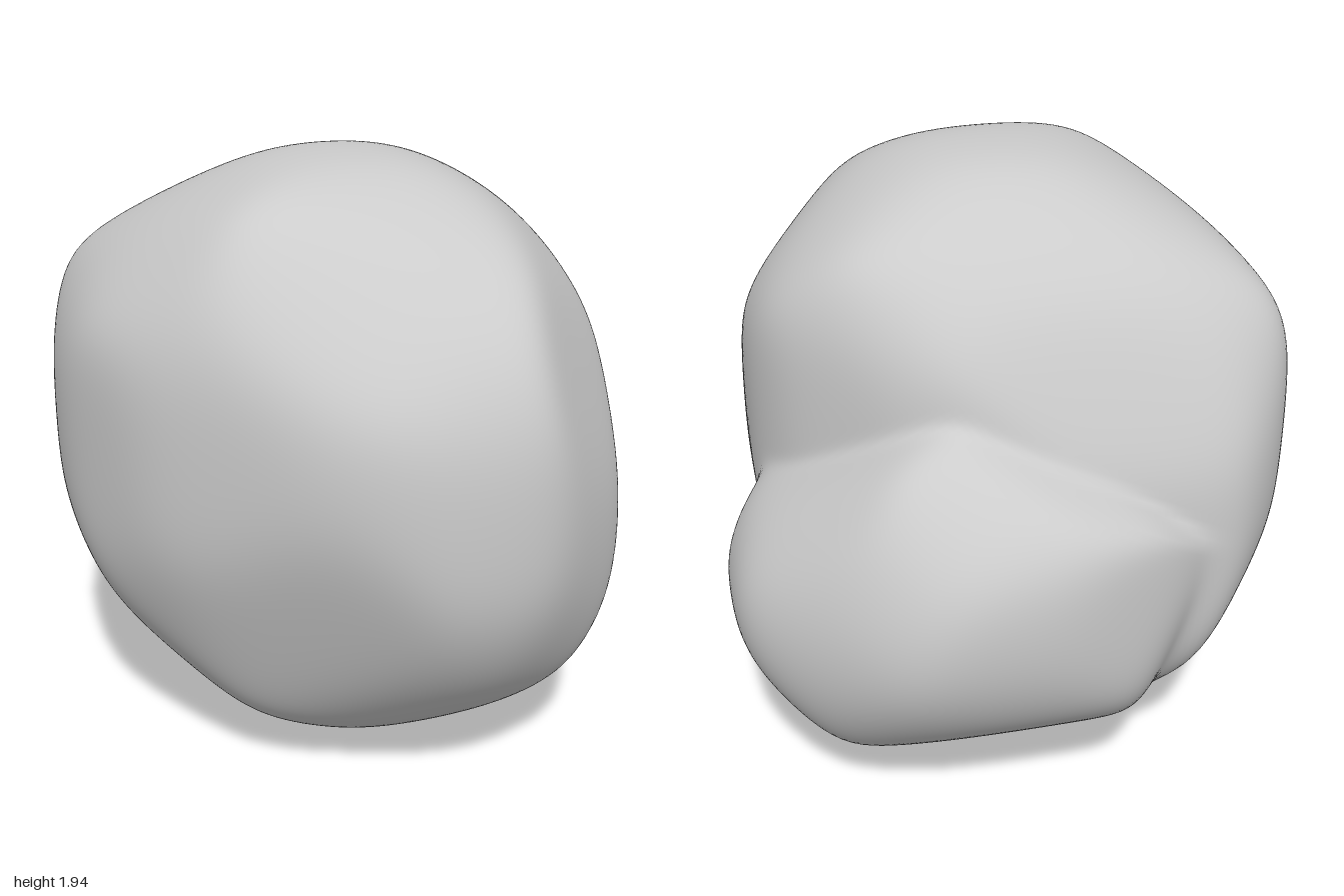
import * as THREE from 'three';
import { mergeVertices } from 'three/addons/utils/BufferGeometryUtils.js';

const MID = 0.985; // height of the centre
const v3 = (x, y, z) => new THREE.Vector3(x, y, z);

// Planes in which the outlines are drawn: across axis, up axis, origin of the up axis
const PLANES = {
  front: [v3(1, 0, 0), v3(0, 1, 0), MID],
  side: [v3(0, 0, 1), v3(0, 1, 0), MID],
  plan: [v3(1, 0, 0), v3(0, 0, 1), 0],
  slantA: [v3(0.707, 0, -0.707), v3(-0.332, 0.883, -0.332), 0],
  slantB: [v3(-0.707, 0, 0.707), v3(0.332, 0.883, 0.332), 0],
  slantC: [v3(-0.707, 0, -0.707), v3(0.332, 0.883, -0.332), 0],
};

// Outlines of the large upper mass
const MAIN = {
  front: [[-0.9, 1.2], [-0.87, 1.38], [-0.62, 1.78], [-0.2, 1.95], [0.07, 1.97], [0.3, 1.9], [0.58, 1.73],
    [0.7, 1.55], [0.76, 1.35], [0.74, 0.8], [0.58, 0.35], [0.2, 0.02], [0.05, 0], [-0.4, 0.15], [-0.6, 0.32],
    [-0.78, 0.58], [-0.88, 0.9]],
  side: [[1, 1], [0.93, 1.4], [0.83, 1.6], [0.45, 1.88], [0.15, 1.96], [-0.2, 1.93], [-0.4, 1.8], [-0.52, 1.65],
    [-0.63, 1.43], [-0.74, 0.95], [-0.68, 0.45], [-0.2, 0.03], [-0.05, 0], [0.4, 0.08], [0.6, 0.22], [0.8, 0.43],
    [0.93, 0.7]],
  plan: [[0.2, -0.62], [0.42, -0.5], [0.62, -0.3], [0.76, 0], [0.77, 0.25], [0.7, 0.67], [0.42, 0.95], [0, 0.99],
    [-0.37, 0.84], [-0.6, 0.6], [-0.78, 0.28], [-0.9, -0.05], [-0.9, -0.25], [-0.74, -0.64], [-0.5, -0.79]],
  slantA: [[-0.85, 0.13], [-0.77, 0.57], [-0.49, 0.87], [-0.27, 0.95], [0.01, 0.93], [0.32, 0.87], [0.51, 0.7],
    [0.64, 0.47], [0.7, 0.13], [0.6, -0.4], [0.16, -0.965], [-0.27, -0.92], [-0.47, -0.78], [-0.63, -0.57],
    [-0.76, -0.26]],
  slantB: [[-0.67, 0.43], [-0.62, 0.63], [-0.47, 0.84], [-0.21, 0.96], [0.04, 1], [0.22, 0.99], [0.48, 0.9],
    [0.78, 0.6], [0.85, 0.13], [0.8, -0.22], [0.67, -0.52], [0.46, -0.76], [-0.05, -0.965], [-0.5, -0.74],
    [-0.66, -0.2]],
  slantC: [[-0.62, 0.66], [-0.32, 0.89], [-0.08, 0.94], [0.15, 0.92], [0.42, 0.75], [0.75, 0.54], [0.88, 0.37],
    [0.96, 0], [0.84, -0.39], [0.42, -0.8], [-0.14, -0.92], [-0.43, -0.86], [-0.84, -0.56], [-0.97, -0.1],
    [-0.78, 0.42]],
};

// Outlines of the low lobe at the rear
const LOBE = {
  front: [[0.74, 1.03], [0.89, 0.73], [0.89, 0.62], [0.8, 0.4], [0.72, 0.3], [0.2, 0.02], [-0.3, 0.2],
    [-0.6, 0.5], [-0.6, 0.95], [-0.2, 1.3], [0.2, 1.38], [0.5, 1.25]],
  side: [[-0.62, 1.41], [-0.75, 1.32], [-0.92, 1.15], [-0.99, 0.9], [-0.92, 0.6], [-0.75, 0.36], [-0.5, 0.18],
    [-0.05, 0], [0.3, 0.15], [0.5, 0.5], [0.45, 0.85], [0.2, 1.02]],
  plan: [[0.25, -1], [0.4, -0.97], [0.62, -0.83], [0.8, -0.65], [0.9, -0.4], [0.83, 0], [0.65, 0.5], [0.2, 0.55],
    [-0.3, 0.3], [-0.6, -0.2], [-0.7, -0.6], [-0.5, -0.78]],
  slantA: [[0.65, 0.47], [0.86, 0.28], [0.98, 0.02], [1.02, -0.22], [0.99, -0.39], [0.87, -0.6], [0.16, -0.965],
    [-0.3, -0.8], [-0.5, -0.3], [-0.3, 0.2], [0.3, 0.45]],
  slantB: [[-0.69, 0.2], [-0.91, 0.02], [-1.02, -0.22], [-0.97, -0.45], [-0.89, -0.58], [-0.62, -0.76],
    [-0.05, -0.965], [0.35, -0.75], [0.5, -0.3], [0.35, 0.1], [-0.2, 0.28]],
  slantC: [[-0.55, 0.08], [-0.37, 0.37], [-0.14, 0.56], [0.18, 0.63], [0.44, 0.59], [0.62, 0.5], [0.88, 0.2],
    [0.85, -0.1], [0.5, -0.65], [0, -0.85], [-0.4, -0.75], [-0.62, -0.3]],
};

// Tangent planes touching the outlines, sixteen around each
function tangentPlanes(outlines) {
  const planes = [];
  for (const [name, points] of Object.entries(outlines)) {
    const [across, up, origin] = PLANES[name];
    for (let i = 0; i < 16; i++) {
      const a = (i * Math.PI) / 8;
      const c = Math.cos(a);
      const s = Math.sin(a);
      const reach = Math.max(...points.map(([u, v]) => c * u + s * (v - origin)));
      const n = v3(0, 0, 0).addScaledVector(across, c).addScaledVector(up, s);
      planes.push({ n, h: reach * 1.02 }); // allowance for the rounding
    }
  }
  return planes;
}

// Radius of the rounded convex body inside the planes
function radius(planes, dir) {
  let sum = 0;
  for (const { n, h } of planes) sum += Math.max(0, n.dot(dir) / h) ** 30;
  return sum ** (-1 / 30);
}

export function createModel() {
  const group = new THREE.Group();
  group.name = 'boulder';

  // A fine sphere, shaped into the main mass joined with the lobe
  let geometry = new THREE.IcosahedronGeometry(1, 40);
  geometry.deleteAttribute('uv');
  geometry.deleteAttribute('normal');
  geometry = mergeVertices(geometry, 1e-5);

  const main = tangentPlanes(MAIN);
  const lobe = tangentPlanes(LOBE);
  const position = geometry.attributes.position;
  const dir = v3(0, 0, 0);
  const q = 50; // higher gives a sharper groove
  for (let i = 0; i < position.count; i++) {
    dir.fromBufferAttribute(position, i).normalize();
    const r = (radius(main, dir) ** q + radius(lobe, dir) ** q) ** (1 / q);
    position.setXYZ(i, dir.x * r, dir.y * r, dir.z * r);
  }
  geometry.computeBoundingBox();
  geometry.translate(0, -geometry.boundingBox.min.y, 0);
  geometry.computeVertexNormals();

  const mesh = new THREE.Mesh(geometry, new THREE.MeshStandardMaterial({ color: 0xcccccc }));
  mesh.name = 'lobedBody';
  group.add(mesh);
  return group;
}
